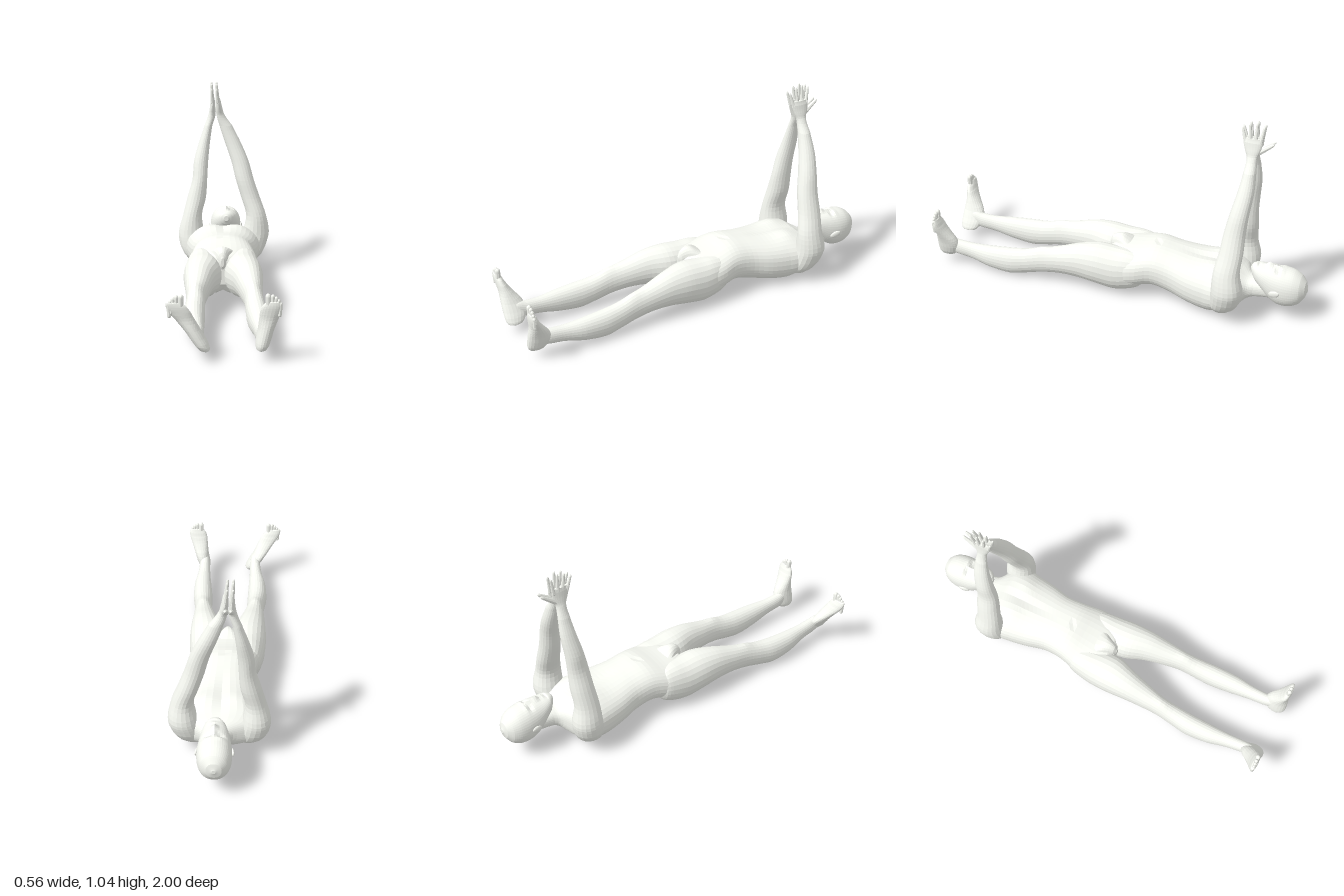
import * as THREE from 'three';

const material = new THREE.MeshStandardMaterial({ color: 0xfafcf5, flatShading: true });

// Catmull-Rom through the rows, column by column
function resample(rows, steps) {
  const out = [], last = rows.length - 1;
  const at = i => rows[Math.min(last, Math.max(0, i))];
  for (let i = 0; i < last; i++) {
    for (let s = 0; s < steps; s++) {
      const t = s / steps, a = at(i - 1), b = at(i), c = at(i + 1), d = at(i + 2);
      out.push(b.map((v, k) => k === 0 ? v + (c[0] - v) * t
        : 0.5 * (2 * v + (c[k] - a[k]) * t + (2 * a[k] - 5 * v + 4 * c[k] - d[k]) * t * t
          + (3 * v - a[k] - 3 * c[k] + d[k]) * t * t * t)));
    }
  }
  out.push(rows[last]);
  return out;
}

// Skin over cross-sections. Rows ascend along the axis:
// axis z: [z, xMin, xMax, yMin, yMax], axis y: [y, xMin, xMax, zMin, zMax]
function loft(axis, rows, { sides = 20, steps = 3, power = 2.1 } = {}) {
  const rings = resample(rows, steps), pos = [], idx = [];
  const put = (x, other, along) => axis === 'z' ? pos.push(x, other, along) : pos.push(x, along, other);
  const bend = v => Math.sign(v) * Math.abs(v) ** (2 / power);
  for (const [w, x0, x1, o0, o1] of rings) {
    for (let j = 0; j < sides; j++) {
      const a = j / sides * Math.PI * 2, c = bend(Math.cos(a)), s = bend(Math.sin(a));
      const [u, v] = axis === 'z' ? [c, s] : [s, c];
      put((x0 + x1) / 2 + u * (x1 - x0) / 2, (o0 + o1) / 2 + v * (o1 - o0) / 2, w);
    }
  }
  const n = rings.length;
  for (const [w, x0, x1, o0, o1] of [rings[0], rings[n - 1]]) put((x0 + x1) / 2, (o0 + o1) / 2, w);
  for (let j = 0; j < sides; j++) {
    const k = (j + 1) % sides, e = (n - 1) * sides;
    for (let i = 0; i < n - 1; i++) {
      const p = i * sides, q = p + sides;
      idx.push(p + j, p + k, q + k, p + j, q + k, q + j);
    }
    idx.push(n * sides, k, j, n * sides + 1, e + j, e + k);
  }
  const geo = new THREE.BufferGeometry();
  geo.setAttribute('position', new THREE.Float32BufferAttribute(pos, 3));
  geo.setIndex(idx);
  return geo;
}

// Soft vertical push around points: [x, y, z, radiusX, radiusZ, dy]
function sculpt(geo, pushes) {
  const p = geo.attributes.position;
  for (let i = 0; i < p.count; i++) {
    const x = p.getX(i), y = p.getY(i), z = p.getZ(i);
    let dy = 0;
    for (const [px, py, pz, rx, rz, d] of pushes) {
      dy += d * Math.exp(-(((x - px) / rx) ** 2) - ((y - py) / 0.06) ** 2 - ((z - pz) / rz) ** 2);
    }
    p.setY(i, Math.max(0, y + dy));
  }
  return geo;
}

function createMesh(parent, name, geo) {
  geo.computeVertexNormals();
  const mesh = new THREE.Mesh(geo, material);
  mesh.name = name;
  parent.add(mesh);
  return mesh;
}

// Rounded finger or toe between two points, thinner towards its tip
function digit(parent, name, from, to, r, taper) {
  const a = new THREE.Vector3(...from), b = new THREE.Vector3(...to), d = b.clone().sub(a);
  const length = d.length(), geo = new THREE.CapsuleGeometry(r, length - 2 * r, 4, 8);
  const p = geo.attributes.position;
  for (let i = 0; i < p.count; i++) {
    const k = 1 - taper * (p.getY(i) / length + 0.5);
    p.setX(i, p.getX(i) * k);
    p.setZ(i, p.getZ(i) * k);
  }
  const mesh = createMesh(parent, name, geo);
  mesh.position.copy(a).add(b).multiplyScalar(0.5);
  mesh.quaternion.setFromUnitVectors(new THREE.Vector3(0, 1, 0), d.normalize());
}

function ball(parent, name, at, size) {
  const mesh = createMesh(parent, name, new THREE.SphereGeometry(1, 16, 12));
  mesh.position.set(...at);
  mesh.scale.set(...size);
  return mesh;
}

export function createModel() {
  const body = new THREE.Group();
  body.name = 'lyingFigure';

  // Torso with neck
  const torso = loft('z', [
    [-0.82, -0.015, 0.095, 0.11, 0.2], [-0.73, -0.02, 0.1, 0.1, 0.2], [-0.695, -0.045, 0.12, 0.085, 0.2],
    [-0.66, -0.14, 0.18, 0.058, 0.215], [-0.62, -0.19, 0.225, 0.033, 0.238], [-0.56, -0.188, 0.222, 0.012, 0.25],
    [-0.5, -0.18, 0.212, 0, 0.256], [-0.4, -0.165, 0.195, 0.014, 0.26], [-0.3, -0.147, 0.17, 0.04, 0.272],
    [-0.2, -0.155, 0.17, 0.064, 0.282], [-0.1, -0.175, 0.188, 0.043, 0.262], [-0.02, -0.175, 0.18, 0.026, 0.252],
    [0.03, -0.12, 0.12, 0.045, 0.242], [0.06, -0.04, 0.04, 0.09, 0.22]], { sides: 40, steps: 4, power: 2.4 });
  createMesh(body, 'torso', sculpt(torso, [
    [-0.07, 0.25, -0.54, 0.06, 0.06, 0.014], [0.105, 0.25, -0.54, 0.06, 0.06, 0.014],
    [0.018, 0.26, -0.5, 0.016, 0.14, -0.009], [0.012, 0.28, -0.2, 0.012, 0.012, -0.006],
    [0.015, 0.02, -0.45, 0.025, 0.2, 0.012], [0, 0.02, 0, 0.018, 0.07, 0.018],
    [-0.09, 0.02, -0.52, 0.05, 0.07, -0.006], [0.12, 0.02, -0.52, 0.05, 0.07, -0.006]]));
  createMesh(body, 'groin', loft('z', [
    [-0.07, -0.1, 0.1, 0.18, 0.245], [-0.03, -0.075, 0.07, 0.17, 0.267], [0, -0.056, 0.05, 0.165, 0.28],
    [0.03, -0.04, 0.034, 0.16, 0.277], [0.055, -0.027, 0.022, 0.165, 0.262], [0.07, -0.01, 0.006, 0.19, 0.235]]));

  // Head
  const head = loft('z', [
    [-1, 0.03, 0.05, 0.172, 0.192], [-0.99, 0.002, 0.078, 0.14, 0.225], [-0.965, -0.025, 0.105, 0.106, 0.255],
    [-0.93, -0.04, 0.12, 0.085, 0.276], [-0.89, -0.045, 0.126, 0.079, 0.285], [-0.85, -0.043, 0.124, 0.085, 0.288],
    [-0.81, -0.037, 0.117, 0.11, 0.287], [-0.77, -0.026, 0.106, 0.155, 0.286], [-0.735, -0.01, 0.09, 0.19, 0.288],
    [-0.715, 0.01, 0.07, 0.22, 0.282], [-0.705, 0.027, 0.053, 0.24, 0.27]], { sides: 44, steps: 4, power: 2.2 });
  createMesh(body, 'head', sculpt(head, [
    [0.04, 0.287, -0.8, 0.013, 0.018, 0.022], [0.04, 0.287, -0.84, 0.008, 0.02, 0.008],
    [0.01, 0.28, -0.848, 0.018, 0.012, -0.011], [0.07, 0.28, -0.848, 0.018, 0.012, -0.011],
    [0.01, 0.28, -0.872, 0.022, 0.01, 0.004], [0.07, 0.28, -0.872, 0.022, 0.01, 0.004],
    [0.04, 0.287, -0.765, 0.02, 0.008, 0.005], [0.04, 0.287, -0.745, 0.022, 0.006, -0.005]]));
  for (const s of [-1, 1]) {
    ball(body, 'eye', [0.04 + s * 0.03, 0.265, -0.848], [0.012, 0.008, 0.007]);
    const ear = ball(body, 'ear', [0.04 + s * 0.085, 0.175, -0.846], [0.009, 0.018, 0.031]);
    ear.rotation.set(0.35, -s * 0.2, 0);
  }

  // Legs and feet, mirrored; the right foot turns out further
  const legRows = [
    [-0.18, 0.07, 0.13, 0.12, 0.18], [-0.13, 0.05, 0.172, 0.06, 0.235], [-0.07, 0.03, 0.188, 0.034, 0.25],
    [0, 0.01, 0.198, 0.02, 0.252], [0.1, 0.01, 0.204, 0.035, 0.258], [0.2, 0.045, 0.2, 0.055, 0.245],
    [0.3, 0.072, 0.194, 0.06, 0.215], [0.4, 0.094, 0.19, 0.047, 0.188], [0.5, 0.098, 0.198, 0.024, 0.163],
    [0.58, 0.1, 0.206, 0.01, 0.153], [0.7, 0.11, 0.204, 0.025, 0.144], [0.8, 0.12, 0.189, 0.05, 0.138],
    [0.88, 0.124, 0.184, 0.06, 0.143], [0.93, 0.132, 0.178, 0.07, 0.15], [0.96, 0.145, 0.165, 0.09, 0.13]];
  for (const [s, label, heel, toe] of [[1, 'left', 0.155, 0.196], [-1, 'right', 0.117, 0.232]]) {
    const rows = legRows.map(([z, a, b, c, d]) => {
      const shift = (heel - 0.155) * 0.6 * Math.max(0, (z - 0.6) / 0.4);
      return s > 0 ? [z, a, b, c, d] : [z, -b - shift, -a - shift, c, d];
    });
    createMesh(body, label + 'Leg', sculpt(loft('z', rows, { sides: 24, steps: 4 }),
      [[s * 0.143, 0.19, 0.41, 0.03, 0.04, 0.008]]));

    // Foot: [y, half width, zMin, zMax], leaning from heel to toes
    const centre = y => s * (heel + (toe - heel) * (y - 0.07) / 0.19);
    const foot = [[0.046, 0.01, 0.935, 0.972], [0.054, 0.024, 0.91, 0.99], [0.075, 0.032, 0.89, 0.999],
      [0.11, 0.036, 0.878, 1], [0.15, 0.038, 0.888, 0.998], [0.2, 0.044, 0.925, 0.994],
      [0.24, 0.049, 0.95, 0.998], [0.265, 0.046, 0.962, 1], [0.285, 0.034, 0.972, 0.998], [0.291, 0.015, 0.98, 0.992]]
      .map(([y, w, a, b]) => [y, centre(y) - w, centre(y) + w, a, b]);
    createMesh(body, label + 'Foot', loft('y', foot));
    for (const [dx, tip, r] of [[-0.019, 0.325, 0.0145], [0.003, 0.321, 0.0115], [0.018, 0.311, 0.0105],
      [0.03, 0.299, 0.01], [0.039, 0.284, 0.0095]]) {
      digit(body, label + 'Toe', [s * (toe + dx * 0.85), tip - 0.07, 0.983], [s * (toe + dx), tip, 0.987], r, 0.12);
    }
  }

  // Arms: [y, xMin, xMax, zMin, zMax] from shoulder to wrist and palm
  const leftArm = [
    [0.035, 0.11, 0.16, -0.61, -0.55], [0.05, 0.1, 0.2, -0.635, -0.535], [0.085, 0.1, 0.236, -0.667, -0.53],
    [0.13, 0.11, 0.26, -0.69, -0.535], [0.2, 0.13, 0.277, -0.703, -0.543],
    [0.3, 0.148, 0.259, -0.685, -0.55], [0.4, 0.12, 0.224, -0.69, -0.568], [0.5, 0.09, 0.19, -0.69, -0.58],
    [0.6, 0.066, 0.162, -0.696, -0.6], [0.7, 0.032, 0.12, -0.705, -0.622], [0.8, 0, 0.07, -0.7, -0.638],
    [0.86, -0.017, 0.028, -0.695, -0.642], [0.9, -0.021, 0.015, -0.708, -0.628], [0.94, -0.021, 0.006, -0.714, -0.618],
    [0.96, -0.017, 0, -0.705, -0.628]];
  const rightArm = [
    [0.035, -0.13, -0.08, -0.61, -0.55], [0.05, -0.165, -0.07, -0.635, -0.535], [0.085, -0.2, -0.07, -0.667, -0.53],
    [0.13, -0.222, -0.075, -0.69, -0.535], [0.2, -0.23, -0.088, -0.703, -0.545],
    [0.3, -0.205, -0.1, -0.685, -0.555], [0.4, -0.18, -0.077, -0.69, -0.568], [0.5, -0.152, -0.07, -0.69, -0.58],
    [0.6, -0.143, -0.064, -0.696, -0.6], [0.7, -0.116, -0.054, -0.705, -0.622], [0.8, -0.083, -0.04, -0.7, -0.638],
    [0.86, -0.062, -0.022, -0.695, -0.642], [0.9, -0.054, -0.024, -0.708, -0.628], [0.94, -0.05, -0.026, -0.714, -0.618],
    [0.96, -0.047, -0.03, -0.705, -0.628]];
  for (const [label, rows, base, tip, thumb] of [
    ['left', leftArm, -0.008, -0.018, -0.01], ['right', rightArm, -0.038, -0.045, -0.036]]) {
    createMesh(body, label + 'Arm', loft('y', rows, { sides: 20, steps: 4 }));
    // Spread fingers, little finger first, then the thumb
    for (const [z0, z1, y1] of [[-0.632, -0.608, 1.01], [-0.655, -0.645, 1.034], [-0.678, -0.682, 1.042], [-0.7, -0.719, 1.027]]) {
      digit(body, label + 'Finger', [base, 0.925, z0], [tip, y1, z1], 0.0115, 0.5);
    }
    digit(body, label + 'Thumb', [thumb, 0.875, -0.68], [thumb, 0.945, -0.774], 0.016, 0.55);
  }
  return body;
}
